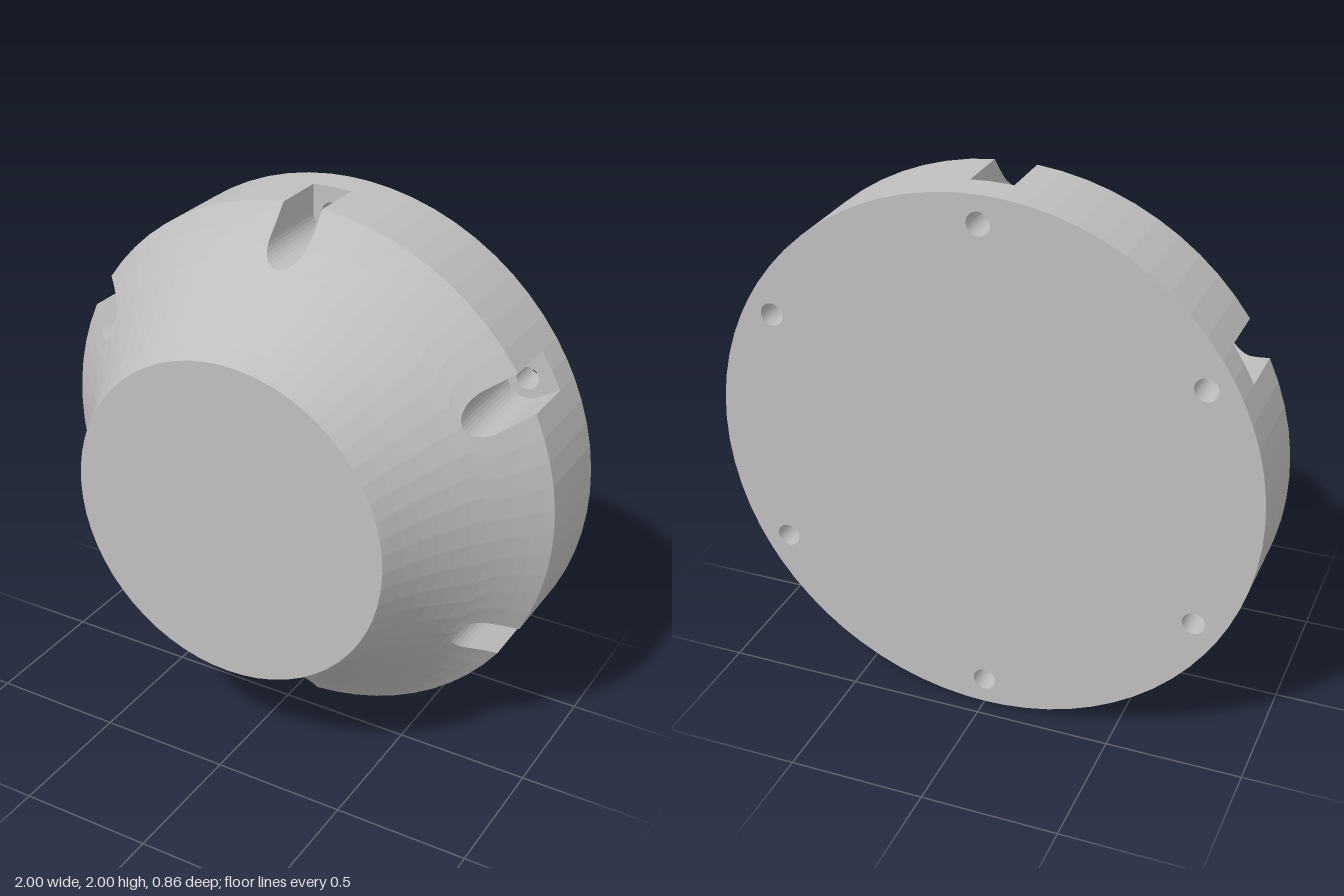
import * as THREE from 'three';
import { mergeGeometries } from 'three/addons/utils/BufferGeometryUtils.js';

const R = 1, TOP_R = 0.614, TOP_Z = 0.43, BACK_Z = -0.43, RIM_Z = -0.1;
const FLOOR_Z = -0.305, SLOT_R = 0.9, SLOT_H = 0.076, BORE_R = 0.042;
const STEPS = 10, SLOTS = 6, SECTOR = Math.PI / 3;

// Concave flare: height along the axis at radius r (a circular arc)
const flareZ = r => 0.912 - Math.sqrt(1.31 ** 2 - (1.833 - r) ** 2);
const polar = (r, a, z) => [r * Math.cos(a), r * Math.sin(a), z];

// Faceted surface through rows of points
function grid(rows) {
  const p = [];
  for (let i = 0; i < rows.length - 1; i++) {
    for (let j = 0; j < rows[i].length - 1; j++) {
      const a = rows[i][j], b = rows[i + 1][j], c = rows[i + 1][j + 1], d = rows[i][j + 1];
      p.push(...a, ...b, ...c, ...a, ...c, ...d);
    }
  }
  const g = new THREE.BufferGeometry();
  g.setAttribute('position', new THREE.Float32BufferAttribute(p, 3));
  g.computeVertexNormals();
  return g;
}

// Half outline of a slot lying along +x, from its round tip to the rim
function slotOutline() {
  const pts = [];
  for (let i = 0; i <= 8; i++) {
    const t = (i / 8) * Math.PI / 2;
    pts.push([SLOT_R - SLOT_H * Math.cos(t), SLOT_H * Math.sin(t)]);
  }
  const start = Math.hypot(SLOT_R, SLOT_H);
  for (let i = 1; i <= 3; i++) {
    const r = start + (R - start) * i / 3;
    pts.push([Math.sqrt(r * r - SLOT_H ** 2), SLOT_H]);
  }
  return pts;
}

// Copies a sector around the axis, one per slot
function around(geometry) {
  return mergeGeometries(Array.from({ length: SLOTS }, (_, k) =>
    geometry.clone().rotateZ(Math.PI / 6 + k * SECTOR)));
}

export function createModel() {
  const grey = new THREE.MeshStandardMaterial({ color: 0xbfbfbf });
  grey.name = 'grey';
  const group = new THREE.Group();
  group.name = 'flaredMountingFlange';
  const add = (name, geometry) => {
    const mesh = new THREE.Mesh(geometry, grey);
    mesh.name = name;
    mesh.position.y = 1;
    group.add(mesh);
  };

  const outline = slotOutline();
  const rimGap = Math.asin(SLOT_H / R);
  // Arc between two neighbouring slots
  const arc = (r, gap, z) => Array.from({ length: STEPS + 1 }, (_, j) =>
    polar(r, gap + (SECTOR - 2 * gap) * j / STEPS, z));

  // Flare, interrupted by the slots
  const flare = [];
  for (let i = 0; i < 6; i++) {
    const r = TOP_R + (SLOT_R - SLOT_H - TOP_R) * i / 6;
    flare.push(arc(r, 0, flareZ(r)));
  }
  for (const [u, v] of outline) {
    const r = Math.hypot(u, v);
    flare.push(arc(r, Math.atan2(v, u), flareZ(r)));
  }
  add('flare', around(grid(flare)));

  // Rim wall between the slots
  add('rimWall', around(grid([arc(R, rimGap, flareZ(R)), arc(R, rimGap, FLOOR_Z)])));

  // Slot side walls
  const loop = [
    ...outline.slice(1).reverse().map(([u, v]) => [u, -v]),
    ...outline,
  ];
  add('slotWalls', around(grid(loop.map(([u, v]) =>
    [[u, v, FLOOR_Z], [u, v, flareZ(Math.hypot(u, v))]]))));

  // Front face
  add('frontFace', new THREE.CircleGeometry(TOP_R, STEPS * SLOTS).translate(0, 0, flareZ(TOP_R)));

  // Base plate with screw holes; its front also forms the slot floors
  const rim = [];
  const plate = new THREE.Shape();
  for (let k = 0; k < SLOTS; k++) {
    const a = Math.PI / 6 + k * SECTOR;
    rim.push(new THREE.Vector2(R * Math.cos(a), R * Math.sin(a)));
    for (let j = 0; j <= STEPS; j++) {
      const [x, y] = polar(R, a + rimGap + (SECTOR - 2 * rimGap) * j / STEPS, 0);
      rim.push(new THREE.Vector2(x, y));
    }
    const hole = new THREE.Path();
    hole.absarc(SLOT_R * Math.cos(a), SLOT_R * Math.sin(a), BORE_R, 0, Math.PI * 2, true);
    plate.holes.push(hole);
  }
  plate.setFromPoints(rim);
  add('basePlate', new THREE.ExtrudeGeometry(plate, {
    depth: FLOOR_Z - BACK_Z, bevelEnabled: false, curveSegments: 24,
  }).translate(0, 0, BACK_Z));

  return group;
}
